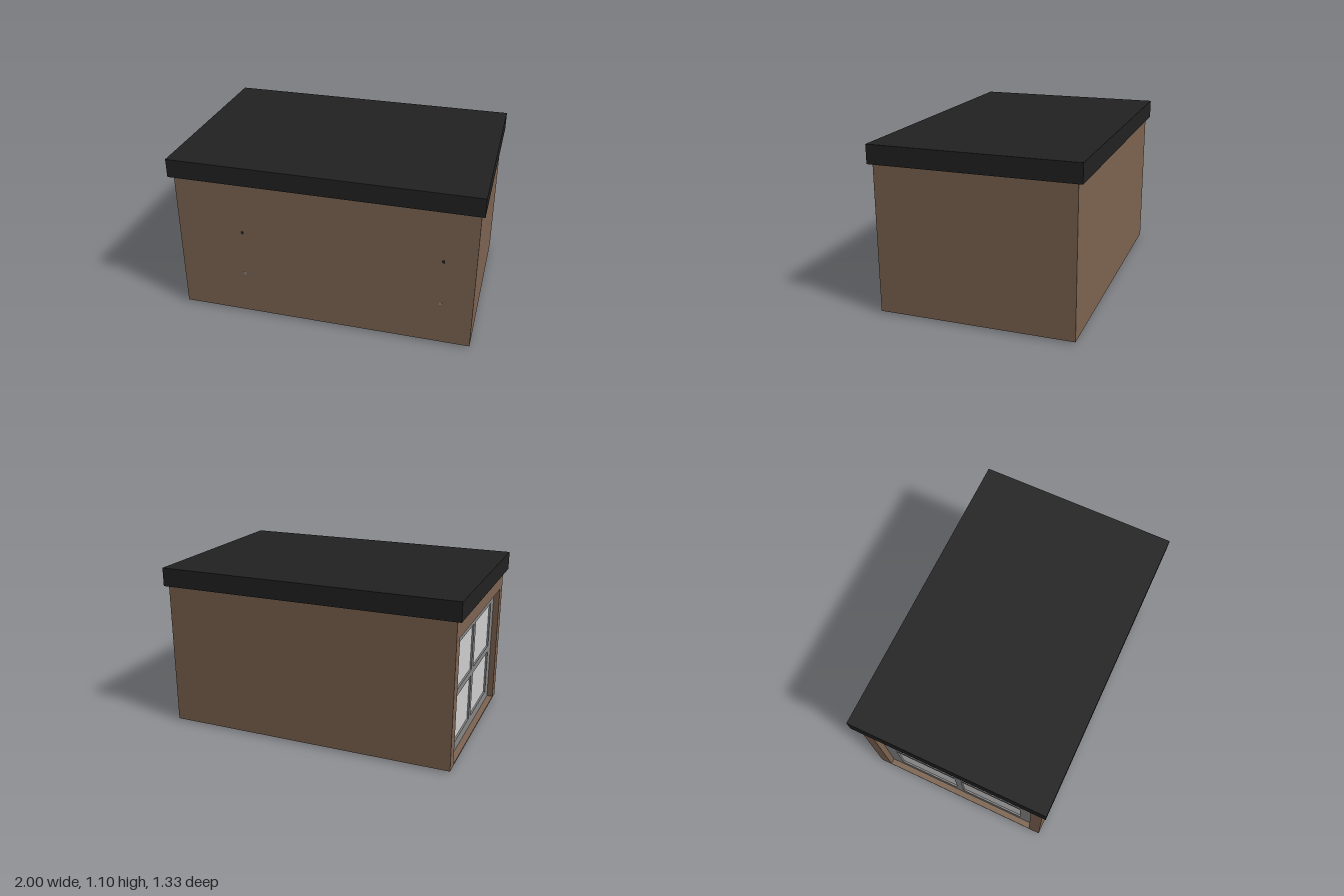
import * as THREE from 'three';

const material = (name, color) => {
  const m = new THREE.MeshStandardMaterial({ color });
  m.name = name;
  return m;
};

// Closed rectangle in the (z, y) plane
function rectangle(z0, y0, z1, y1, Type = THREE.Shape) {
  const r = new Type();
  r.moveTo(z0, y0);
  r.lineTo(z1, y0);
  r.lineTo(z1, y1);
  r.lineTo(z0, y1);
  r.closePath();
  return r;
}

// Upright slab facing -x, with rectangular openings
function slab(outline, openings, x0, x1) {
  const shape = rectangle(...outline);
  for (const o of openings) shape.holes.push(rectangle(...o, THREE.Path));
  const g = new THREE.ExtrudeGeometry(shape, { depth: x1 - x0, bevelEnabled: false });
  g.rotateY(Math.PI / 2);
  g.translate(x0, 0, 0);
  return g;
}

// Box given by its extents
function block(x0, x1, y0, y1, z0, z1) {
  const g = new THREE.BoxGeometry(x1 - x0, y1 - y0, z1 - z0);
  g.translate((x0 + x1) / 2, (y0 + y1) / 2, (z0 + z1) / 2);
  return g;
}

export function createModel() {
  const brown = material('brown wall', 0x7e6552);
  const black = material('black roof', 0x222222);
  const grey = material('grey frame', 0x888888);
  const pale = material('pale glass', 0xd0d0d0);

  const model = new THREE.Group();
  model.name = 'gardenRoom';
  const add = (name, geometry, mat) => {
    const mesh = new THREE.Mesh(geometry, mat);
    mesh.name = name;
    model.add(mesh);
  };

  // Body and the end wall with its door opening
  add('body', block(-0.88, 0.98, 0.012, 0.98, -0.638, 0.638), brown);
  add('endWall', slab([-0.638, 0.012, 0.638, 0.98], [[-0.56, 0.022, 0.56, 0.85]], -0.97, -0.88), brown);

  // Flat overhanging roof
  add('roof', block(-1, 1, 0.977, 1.1, -0.667, 0.667), black);

  // Recessed glazed door: four panes in a frame that reaches the ground
  const panes = [];
  for (const z of [-0.47, 0.025])
    for (const y of [0.09, 0.45]) panes.push([z, y, z + 0.445, y + 0.315]);
  add('doorFrame', slab([-0.56, 0, 0.56, 0.85], panes, -0.93, -0.89), grey);
  for (const [z0, y0, z1, y1] of panes)
    add('glassPane', block(-0.918, -0.9, y0, y1, -z1, -z0), pale);

  // Small fixings on the front wall
  for (const x of [-0.53, 0.775]) {
    add('upperFixing', block(x - 0.009, x + 0.009, 0.612, 0.63, 0.63, 0.64), black);
    add('lowerFixing', block(x - 0.009, x + 0.009, 0.3, 0.318, 0.63, 0.64), grey);
  }

  return model;
}
